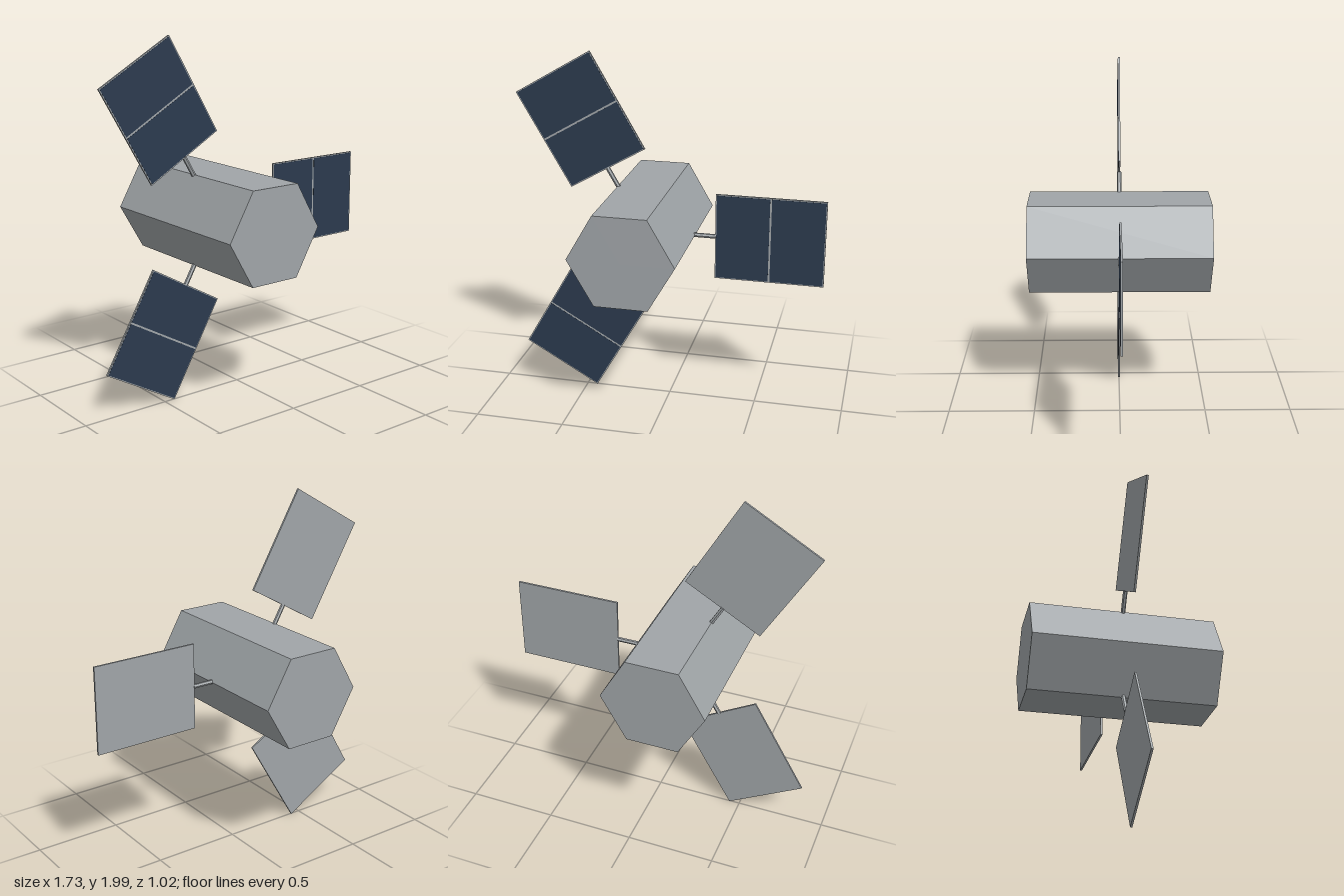
import * as THREE from 'three';

const metal = new THREE.MeshStandardMaterial({ name: 'grey metal', color: 0xa0a5a8, flatShading: true });
const solar = new THREE.MeshStandardMaterial({ name: 'dark blue solar cell', color: 0x2b3a4e, flatShading: true });

function part(name, geometry, material, x = 0, y = 0, z = 0) {
  const mesh = new THREE.Mesh(geometry, material);
  mesh.name = name;
  mesh.position.set(x, y, z);
  return mesh;
}

// One arm pointing along +x: strut, panel backing and two cells on the front
function createArm() {
  const arm = new THREE.Group();
  arm.name = 'solarArm';
  const inner = 0.405, outer = 1.01, height = 0.49, thickness = 0.011;
  const border = 0.006, gap = 0.01;
  const width = outer - inner, middle = (inner + outer) / 2;

  const strutStart = 0.24;
  const strutLength = inner + 0.004 - strutStart;
  const strut = new THREE.CylinderGeometry(0.0125, 0.0125, strutLength, 6);
  strut.rotateY(Math.PI / 6).rotateZ(Math.PI / 2);
  strut.rotateX(Math.PI / 2);
  arm.add(part('strut', strut, metal, strutStart + strutLength / 2));

  arm.add(part('panelBacking', new THREE.BoxGeometry(width, height, thickness), metal, middle));

  const cellWidth = (width - gap) / 2 - border;
  for (const side of [-1, 1]) {
    const cell = new THREE.BoxGeometry(cellWidth, height - 2 * border, 0.002);
    arm.add(part('solarCell', cell, solar, middle + side * (gap + cellWidth) / 2, 0, thickness / 2));
  }
  return arm;
}

export function createModel() {
  const model = new THREE.Group();
  model.name = 'satellite';
  model.position.set(-0.148, 1, 0);

  // Hexagonal body lying along z, with corners pointing left and right
  const body = new THREE.CylinderGeometry(0.292, 0.292, 1.022, 6);
  body.rotateY(Math.PI / 6).rotateX(Math.PI / 2);
  model.add(part('body', body, metal));

  // Three arms spread evenly around the body
  for (let i = 0; i < 3; i++) {
    const arm = createArm();
    arm.rotation.z = (i * Math.PI * 2) / 3;
    model.add(arm);
  }

  const root = new THREE.Group();
  root.add(model);
  return root;
}
